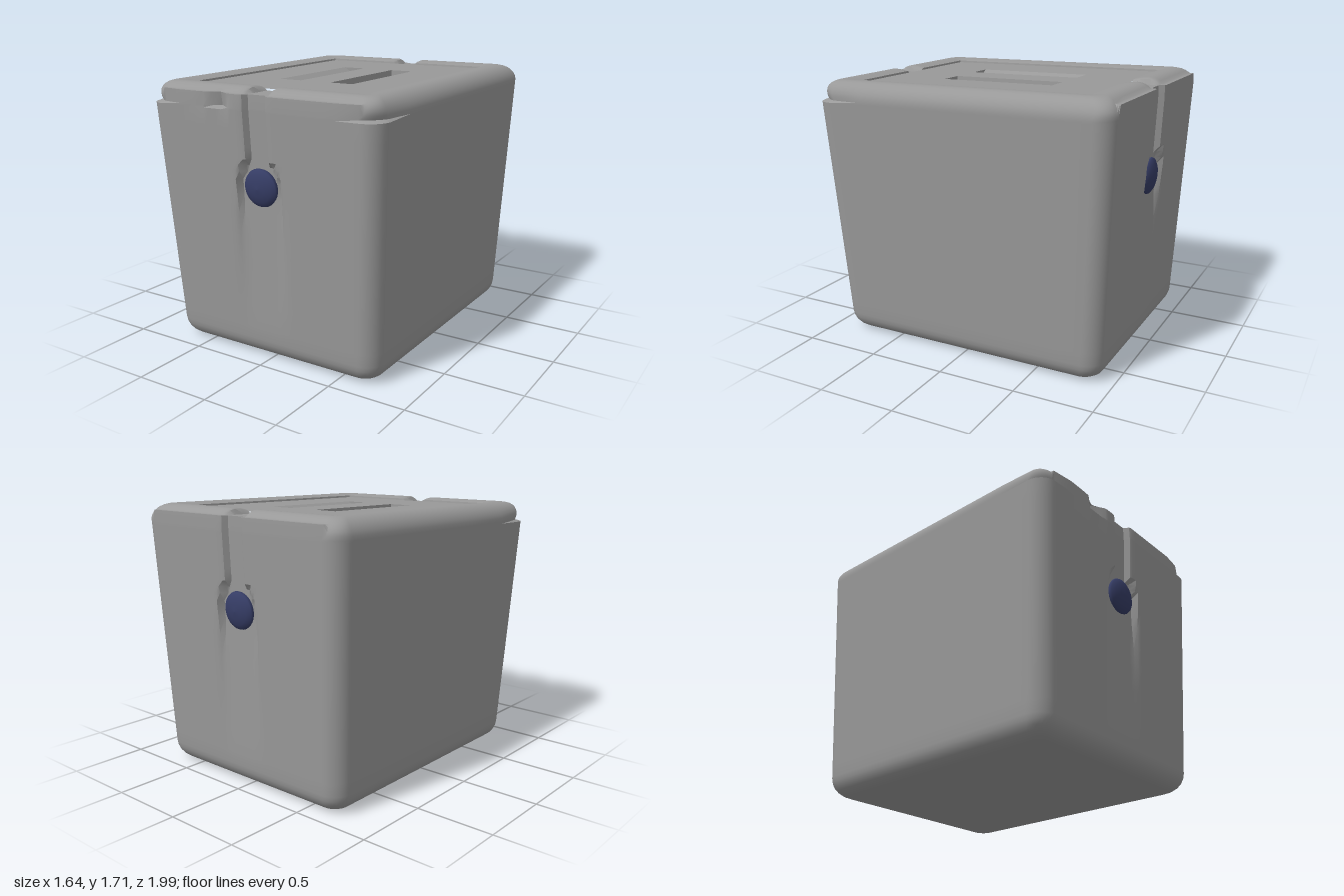
import * as THREE from 'three';
import { toCreasedNormals } from 'three/addons/utils/BufferGeometryUtils.js';

const clamp = (v) => Math.min(1, Math.max(0, v));
const lerp = THREE.MathUtils.lerp;
const PANEL_Y = 1.672;
const XS = [0, 0.04, 0.065, 0.085, 0.1, 0.14, 0.165, 0.19, 0.235, 0.28, 0.325, 0.37, 0.45, 0.55];

// lid rises slightly towards the back
function tilt(geo) {
  const p = geo.attributes.position;
  for (let i = 0; i < p.count; i++) p.setY(i, p.getY(i) * (1 - 0.0075 * p.getZ(i)));
  return geo;
}

// depth of the channel running down the middle of front and back
function channel(x, y) {
  const w = 0.088 + clamp((1.28 - y) / 0.1) * 0.07 + Math.max(0, 1.2 - y) * 0.06;
  const fade = clamp((y - 0.2) / 0.85);
  return 0.04 * fade * clamp((w - Math.abs(x)) / (0.02 + (1 - fade) * 0.12));
}

// one rounded-rectangle ring, with the channel and chipped edges pressed in
function ring({ inset, y, out, up, scale = 1, r }) {
  const t = clamp((y - 0.1) / 1.5);
  const hx = lerp(0.752, 0.822, t) - inset, hz = lerp(0.917, 0.998, t) - inset;
  const shift = lerp(-0.0125, 0.0025, t);
  const q = XS.map((x) => [x, hz]);
  for (let k = 0; k <= 8; k++) {
    const a = (k / 8) * Math.PI / 2;
    q.push([hx - r + r * Math.sin(a), hz - r + r * Math.cos(a)]);
  }
  q.push([hx, 0.65], [hx, 0.3], [hx, 0]);
  const flip = (sx, sz) => q.map(([x, z]) => [x * sx, z * sz]);
  const pts = [...q, ...flip(1, -1).reverse(), ...flip(-1, -1), ...flip(-1, 1).reverse()];
  return pts.map(([x, z]) => {
    let px = x, py = y, pz = z;
    const s = Math.sign(z);
    if (Math.abs(z) > hz - 0.001) {
      const d = channel(x, y);
      pz -= s * d * out;
      py -= d * up;
      if (up > 0) py = Math.max(py, PANEL_Y - 0.012);
    }
    // chips under the front rim
    if (z > 0 && y > 1.57 && inset < 0.11) {
      const high = clamp((1.69 - y) / 0.11);
      if (z > hz - 0.001) pz -= 0.07 * clamp(1 - Math.abs(x + 0.28) / 0.095) * high;
      const corner = 0.05 * high * clamp(1 - (hx - Math.abs(x) + hz - z) / 0.2);
      px -= Math.sign(x) * corner;
      pz -= corner;
    }
    return [px * scale, py, (pz + shift) * scale];
  });
}

function bodyGeometry() {
  const R = 0.12, profile = [{ inset: R, y: 0, out: 0, up: 0, scale: 0, r: 0.06 }];
  for (let k = 0; k <= 6; k++) {
    const a = (k / 6) * Math.PI / 2;
    profile.push({ inset: R * (1 - Math.sin(a)), y: R * (1 - Math.cos(a)), out: 1, up: 0, r: 0.06 + 0.06 * Math.sin(a) });
  }
  for (const y of [0.2, 0.35, 0.5, 0.65, 0.8, 0.95, 1.05, 1.15, 1.2, 1.24, 1.28, 1.35, 1.45, 1.565])
    profile.push({ inset: 0, y, out: 1, up: 0, r: 0.12 });
  for (let k = 0; k <= 8; k++) {
    const a = (k / 8) * Math.PI / 2;
    profile.push({ inset: R * (1 - Math.cos(a)), y: 1.578 + R * Math.sin(a), out: Math.cos(a), up: Math.sin(a), r: 0.12 - 0.05 * Math.sin(a) });
  }
  // rim sloping in to the lid panel
  profile.push({ inset: 0.17, y: 1.694, out: 0, up: 1, r: 0.04 });
  profile.push({ inset: 0.215, y: 1.684, out: 0, up: 1, r: 0.01 });
  profile.push({ inset: 0.22, y: PANEL_Y - 0.012, out: 0, up: 0, r: 0.005 });

  const rings = profile.map(ring), n = rings[0].length, index = [];
  for (let i = 0; i < rings.length - 1; i++) {
    for (let j = 0; j < n; j++) {
      const k = (j + 1) % n, a = i * n + j, b = i * n + k;
      index.push(a, b, b + n, a, b + n, a + n);
    }
  }
  const geo = new THREE.BufferGeometry();
  geo.setAttribute('position', new THREE.Float32BufferAttribute(rings.flat(2), 3));
  geo.setIndex(index);
  return toCreasedNormals(tilt(geo), 0.6);
}

// lid panel with two slot openings
function panelGeometry() {
  const rect = (shape, x0, x1, y0, y1) =>
    shape.moveTo(x0, y0).lineTo(x1, y0).lineTo(x1, y1).lineTo(x0, y1).closePath();
  const shape = rect(new THREE.Shape(), -0.603, 0.603, -0.783, 0.778);
  for (const [x0, x1] of [[-0.27, -0.11], [0.11, 0.27]])
    shape.holes.push(rect(new THREE.Path(), x0, x1, -0.375, 0.39));
  return tilt(new THREE.ShapeGeometry(shape).rotateX(-Math.PI / 2).translate(0, PANEL_Y, 0));
}

// slot: ramp, floor and steep inner wall, closed at both ends
function slotGeometry(side) {
  const prof = [[0.27, 0], [0.19, -0.05], [0.115, -0.05], [0.11, 0]];
  const pt = (i, z) => [side * prof[i][0], PANEL_Y + prof[i][1], z];
  const pos = [], z0 = -0.39, z1 = 0.375;
  const quad = (a, b, c, d) => {
    const order = side > 0 ? [a, b, c, a, c, d] : [a, c, b, a, d, c];
    order.forEach((v) => pos.push(...v));
  };
  for (let i = 0; i < 3; i++) quad(pt(i, z0), pt(i + 1, z0), pt(i + 1, z1), pt(i, z1));
  quad(pt(0, z0), pt(3, z0), pt(2, z0), pt(1, z0));
  quad(pt(0, z1), pt(1, z1), pt(2, z1), pt(3, z1));
  const geo = new THREE.BufferGeometry();
  geo.setAttribute('position', new THREE.Float32BufferAttribute(pos, 3));
  tilt(geo).computeVertexNormals();
  return geo;
}

export function createModel() {
  const shell = new THREE.MeshStandardMaterial({ color: 0x999999 });
  shell.name = 'grey shell';
  const blue = new THREE.MeshStandardMaterial({ color: 0x363d66 });
  blue.name = 'navy button';

  const model = new THREE.Group();
  model.name = 'box';
  const add = (name, geo, mat) => {
    const mesh = new THREE.Mesh(geo, mat);
    mesh.name = name;
    model.add(mesh);
    return mesh;
  };
  add('body', bodyGeometry(), shell);
  add('lidPanel', panelGeometry(), shell);
  add('leftSlot', slotGeometry(1), shell);
  add('rightSlot', slotGeometry(-1), shell);

  // domed buttons in the front and back channels
  const dome = new THREE.LatheGeometry(
    [[0.105, -0.03], [0.117, 0], [0.112, 0.012], [0.085, 0.028], [0.045, 0.039], [0, 0.043]]
      .map(([x, y]) => new THREE.Vector2(x, y)), 32).rotateX(Math.PI / 2);
  const front = add('frontButton', dome, blue);
  front.position.set(0.002, 1.105, 0.943);
  front.rotation.x = 0.06;
  const back = add('backButton', dome, blue);
  back.position.set(0.002, 1.115, -0.942);
  back.rotation.set(-0.045, Math.PI, 0);
  return model;
}
